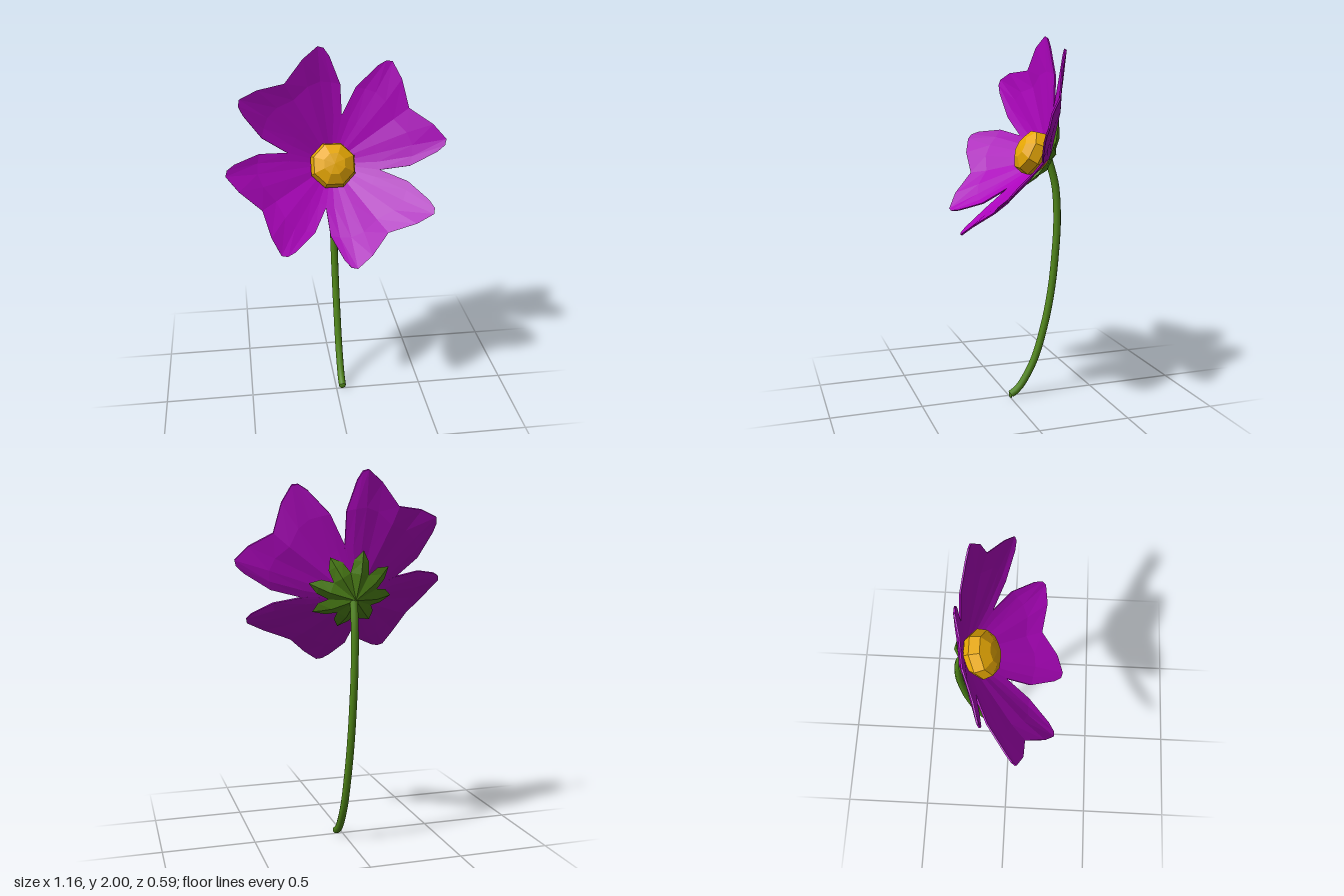
import * as THREE from 'three';

const mat = (name, color, extra = {}) => {
  const m = new THREE.MeshStandardMaterial({ color, flatShading: true, ...extra });
  m.name = name;
  return m;
};

// Point in the flower head's frame: radius, angle in degrees, height along its axis
const polar = (r, deg, h) => {
  const a = THREE.MathUtils.degToRad(deg);
  return [r * Math.cos(a), h, -r * Math.sin(a)];
};

const buildGeometry = (points, index) => {
  const g = new THREE.BufferGeometry();
  g.setAttribute('position', new THREE.Float32BufferAttribute(points.flat(), 3));
  g.setIndex(index);
  g.computeVertexNormals();
  return g;
};

// Two-lobed pleated petal: half cross-sections, from the middle fold to the edge, as [radius, angle]
function petalGeometry() {
  const rows = [
    [[0.02, 0], [0.02, 12], [0.02, 24], [0.02, 35], [0.02, 46]],
    [[0.13, 0], [0.13, 12], [0.13, 24], [0.13, 35], [0.13, 46]],
    [[0.24, 0], [0.24, 13], [0.24, 24], [0.24, 35], [0.24, 46]],
    [[0.385, 0], [0.41, 14], [0.42, 24], [0.412, 32], [0.405, 39]],
    [[0.475, 0], [0.54, 15.5], [0.586, 25], [0.575, 28], [0.535, 31]],
  ];
  const slope = [0.48, 0.505, 0.485, 0.47, 0.47];
  const tipSlope = [0.51, 0.53, 0.5, 0.5, 0.497];
  const thickness = 0.01;
  const last = rows.length - 1, cols = 9;
  const top = [];
  rows.forEach((row, i) => {
    for (let j = -4; j <= 4; j++) {
      const k = Math.abs(j), [r, a] = row[k];
      top.push(polar(r, Math.sign(j) * a, r * (i === last ? tipSlope : slope)[k]));
    }
  });
  const n = top.length;
  const bottom = top.map(([x, y, z]) => [x, y - thickness, z]);
  const index = [], rim = [];
  for (let i = 0; i < last; i++) {
    for (let j = 0; j < cols - 1; j++) {
      const a = i * cols + j, b = a + cols;
      index.push(a, b, b + 1, a, b + 1, a + 1);
      index.push(n + a, n + b + 1, n + b, n + a, n + a + 1, n + b + 1);
    }
  }
  // Rim walls
  for (let i = 0; i < last; i++) rim.push(i * cols);
  for (let j = 0; j < cols - 1; j++) rim.push(last * cols + j);
  for (let i = last; i > 0; i--) rim.push(i * cols + cols - 1);
  for (let j = cols - 1; j > 0; j--) rim.push(j);
  rim.forEach((p, i) => {
    const q = rim[(i + 1) % rim.length];
    index.push(n + p, n + q, q, n + p, q, p);
  });
  return buildGeometry([...top, ...bottom], index);
}

// Broad pointed sepal with a raised keel underneath
function sepalGeometry() {
  const pts = [
    polar(0, 0, -0.025),
    polar(0.13, -23, 0.04), polar(0.13, 0, 0.018), polar(0.13, 23, 0.04),
    polar(0.185, -13, 0.07), polar(0.185, 0, 0.055), polar(0.185, 13, 0.07),
    polar(0.232, 0, 0.09),
  ];
  return buildGeometry(pts, [
    0, 1, 2, 0, 2, 3, 1, 4, 5, 1, 5, 2, 2, 5, 6, 2, 6, 3, 4, 7, 5, 5, 7, 6,
  ]);
}

export function createModel() {
  const model = new THREE.Group();
  model.name = 'flower';
  const purple = mat('petal purple', 0xab04bb);
  const gold = mat('centre gold', 0xe6a704);
  const green = mat('stem green', 0x508618, { flatShading: false });
  const leafGreen = mat('sepal green', 0x508618, { side: THREE.DoubleSide });

  const add = (parent, name, geometry, material) => {
    const mesh = new THREE.Mesh(geometry, material);
    mesh.name = name;
    parent.add(mesh);
    return mesh;
  };

  // Curved stem
  const path = new THREE.CatmullRomCurve3([
    [0.035, 0.025, 0], [0.034, 0.055, -0.045], [0.032, 0.2, -0.135],
    [0.029, 0.4, -0.2], [0.025, 0.6, -0.242], [0.021, 0.8, -0.266],
    [0.017, 1.0, -0.278], [0.013, 1.2, -0.266], [0.006, 1.355, -0.225],
  ].map(p => new THREE.Vector3(...p)));
  add(model, 'stem', new THREE.TubeGeometry(path, 40, 0.021, 10), green);
  const foot = add(model, 'stemFoot', new THREE.SphereGeometry(0.021, 10, 6), green);
  foot.position.set(0.035, 0.025, 0);
  foot.scale.z = 0.4;

  // Flower head, tilted forward and facing slightly up
  const head = new THREE.Group();
  head.name = 'flowerHead';
  head.position.set(0.002, 1.352, -0.23);
  head.rotation.x = 1.104;
  model.add(head);

  const petal = petalGeometry();
  for (let i = 0; i < 4; i++) {
    add(head, 'petal', petal, purple).rotation.y = THREE.MathUtils.degToRad(32 + 90 * i);
  }

  const sepal = sepalGeometry();
  for (let i = 0; i < 8; i++) {
    add(head, 'sepal', sepal, leafGreen).rotation.y = THREE.MathUtils.degToRad(10 + 45 * i);
  }

  // Faceted centre
  const profile = [[0.06, 0], [0.108, 0.03], [0.13, 0.07], [0.116, 0.125], [0.06, 0.158], [0, 0.165]]
    .map(p => new THREE.Vector2(...p));
  const centre = add(head, 'flowerCentre', new THREE.LatheGeometry(profile, 8, Math.PI / 8), gold);
  centre.position.set(-0.003, 0.015, 0.018);

  return model;
}
